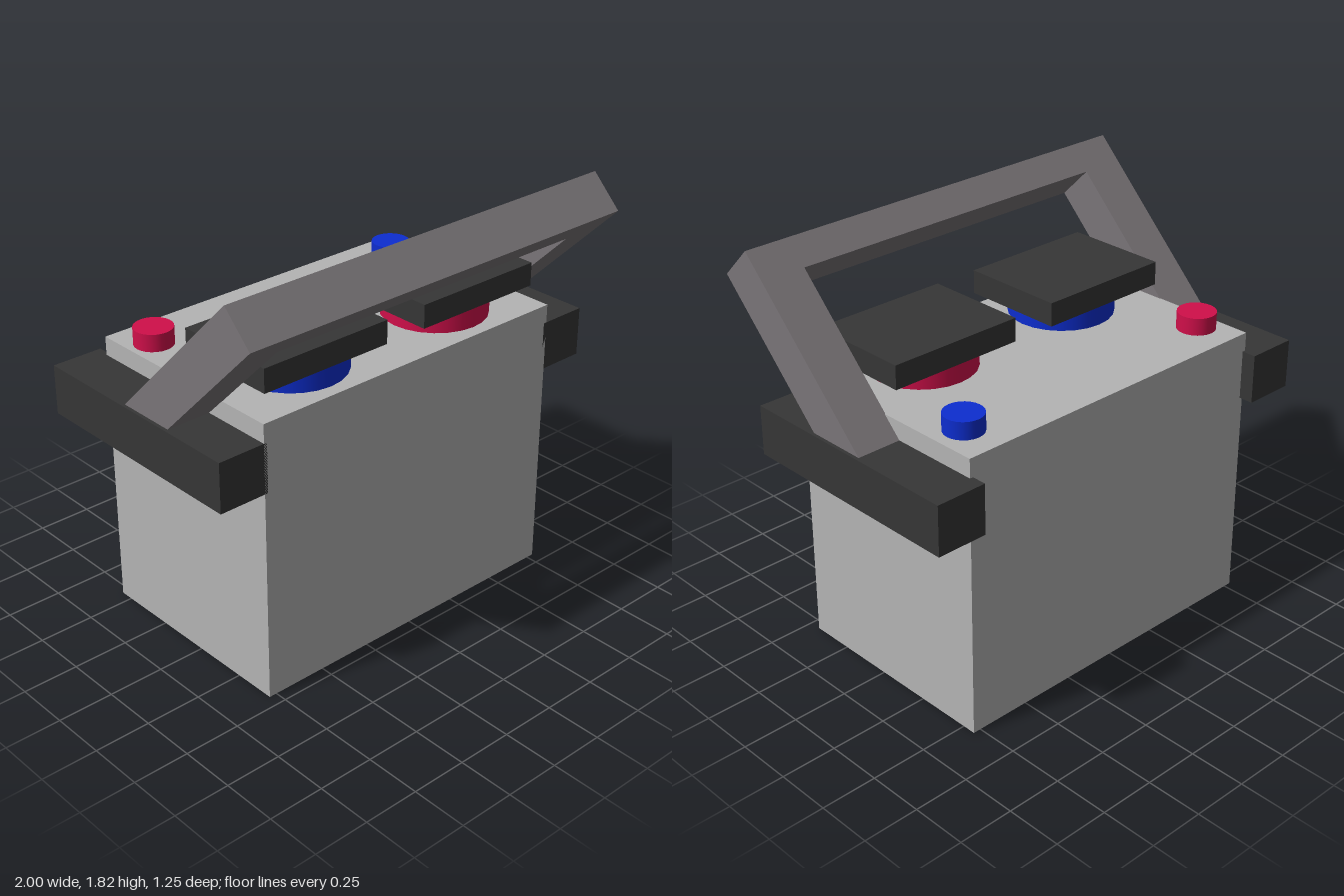
import * as THREE from 'three';

const material = (name, color) => {
  const m = new THREE.MeshStandardMaterial({ color });
  m.name = name;
  return m;
};

export function createModel() {
  const group = new THREE.Group();
  group.name = 'battery';
  const casing = material('light grey casing', 0xb4b4b4);
  const black = material('black plastic', 0x363636);
  const grip = material('warm grey handle', 0x7a7578);
  const red = material('red', 0xd00f4a);
  const blue = material('blue', 0x0d2dd0);

  const add = (name, geometry, mat, x, y, z) => {
    const mesh = new THREE.Mesh(geometry, mat);
    mesh.name = name;
    mesh.position.set(x, y, z);
    group.add(mesh);
    return mesh;
  };
  // Box given by its lower and upper corners
  const box = (name, mat, [x0, y0, z0], [x1, y1, z1]) =>
    add(name, new THREE.BoxGeometry(x1 - x0, y1 - y0, z1 - z0), mat,
      (x0 + x1) / 2, (y0 + y1) / 2, (z0 + z1) / 2);
  // Upright disc standing between two heights
  const disc = (name, mat, r, x, z, y0, y1) =>
    add(name, new THREE.CylinderGeometry(r, r, y1 - y0, 24), mat, x, (y0 + y1) / 2, z);

  // Main casing
  box('casing', casing, [-0.785, 0, -0.56], [0.785, 1.258, 0.445]);

  for (const [side, s, big, small] of [['left', 1, red, blue], ['right', -1, blue, red]]) {
    // Side rail
    const rail = box(side + 'Rail', black, [0.77, 0.955, -0.625], [1, 1.175, 0.445]);
    rail.position.x *= s;
    // Terminal post with its rectangular cover
    disc(side + 'Terminal', big, 0.232, s * 0.395, 0.155, 1.25, 1.35);
    const cover = box(side + 'TerminalCover', black, [0.102, 1.345, -0.084], [0.732, 1.45, 0.39]);
    cover.position.x *= s;
    // Small rear cap
    disc(side + 'RearCap', small, 0.085, s > 0 ? 0.65 : -0.673, -0.378, 1.25, 1.335);
  }

  // U-shaped carrying handle, drawn upright and leaned forward 45 degrees
  const length = 1.0;
  const outline = new THREE.Shape([
    [-0.985, 0], [-0.985, -length], [-0.782, -length], [-0.782, -0.138],
    [0.782, -0.138], [0.782, -length], [0.985, -length], [0.985, 0],
  ].map(([x, y]) => new THREE.Vector2(x, y)));
  const handleGeometry = new THREE.ExtrudeGeometry(outline, { depth: 0.193, bevelEnabled: false });
  const handle = add('handle', handleGeometry, grip, 0, 1.82, 0.488);
  // The back face lies on the upper edge, thickness runs down and forward
  handle.rotation.x = Math.PI / 4;

  return group;
}
